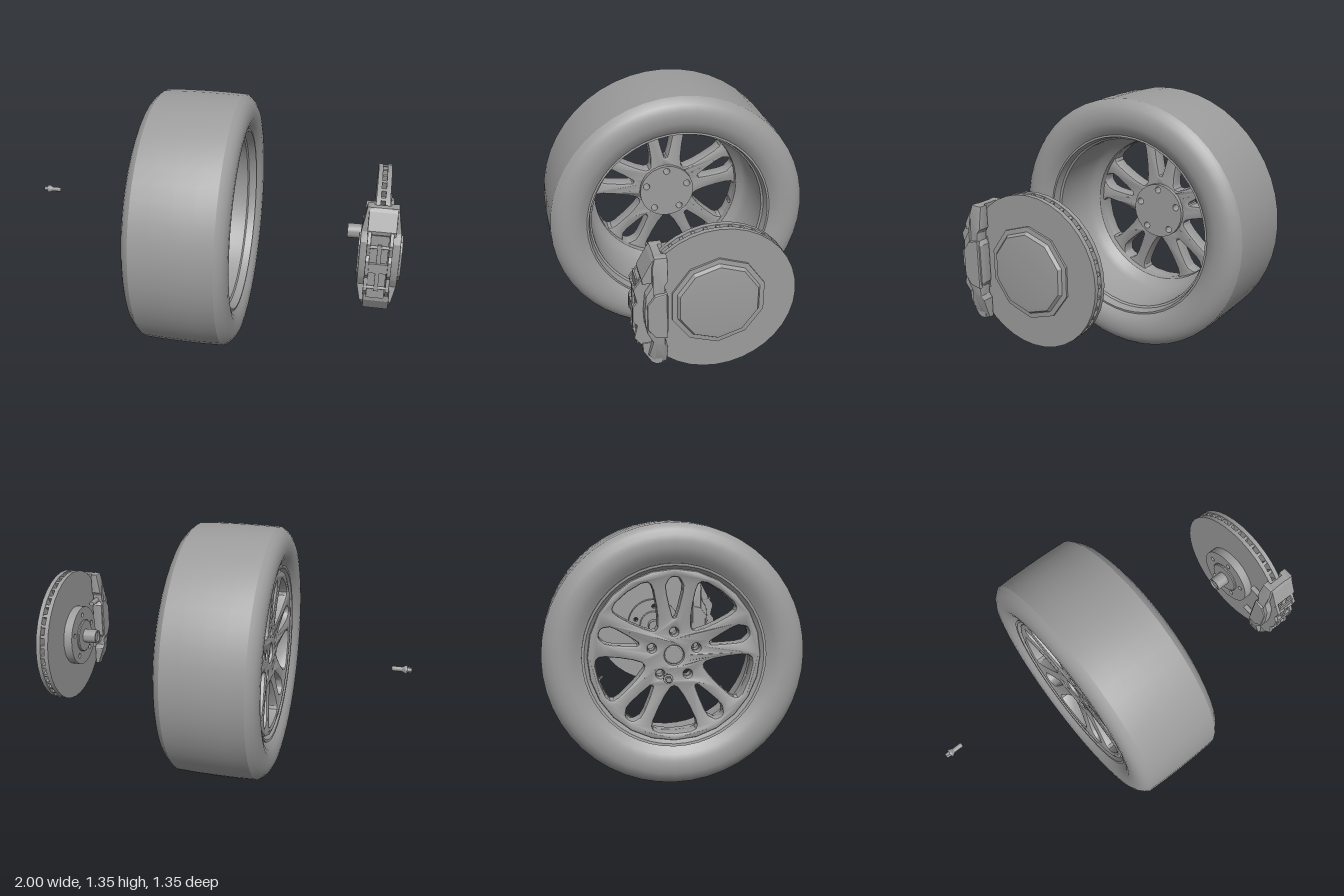
import * as THREE from 'three';
import { toCreasedNormals } from 'three/addons/utils/BufferGeometryUtils.js';

const AXLE_Y = 0.675;
const V = (x, y) => new THREE.Vector2(x, y);

export function createModel() {
  const root = new THREE.Group();
  const mat = new THREE.MeshStandardMaterial({ color: 0x9c9c9c });

  function add(parent, name, geo, x = 0, y = 0, z = 0) {
    const mesh = new THREE.Mesh(geo, mat);
    mesh.name = name;
    mesh.position.set(x, y, z);
    parent.add(mesh);
    return mesh;
  }
  function group(name, y = AXLE_Y) {
    const g = new THREE.Group();
    g.name = name;
    g.position.y = y;
    root.add(g);
    return g;
  }
  // Revolve [radius, x] points about the x axis (outer side runs towards +x)
  const spin = (pts, sides, crease = 0.5, phase = 0) => toCreasedNormals(
    new THREE.LatheGeometry(pts.map(p => V(p[0], p[1])), sides, phase).rotateZ(-Math.PI / 2), crease);
  const closed = pts => [...pts, pts[0]];
  // Extrude a shape drawn in (-z, y) from x0 to x1
  function slab(shape, x0, x1, bevel = 0, curveSegments = 12) {
    const geo = new THREE.ExtrudeGeometry(shape, {
      depth: x1 - x0 - 2 * bevel, bevelEnabled: bevel > 0, bevelSize: bevel,
      bevelThickness: bevel, bevelSegments: 2, curveSegments });
    return geo.rotateY(Math.PI / 2).translate(x0 + bevel, 0, 0);
  }
  const disc = r => new THREE.Shape().absarc(0, 0, r, 0, Math.PI * 2);
  const hole = (x, y, r) => new THREE.Path().absarc(x, y, r, 0, Math.PI * 2, true);
  const fifth = (k, start) => (start + 72 * k) * Math.PI / 180;
  function boltHoles(shape, r) {
    for (let k = 0; k < 5; k++) {
      const a = fifth(k, 90);
      shape.holes.push(hole(0.12 * Math.cos(a), 0.12 * Math.sin(a), r));
    }
    return shape;
  }

  // ---- Wheel ----
  const wheel = group('wheel');
  const half = [[0.485, 0.228], [0.51, 0.247], [0.545, 0.259], [0.58, 0.26],
    [0.61, 0.256], [0.638, 0.243], [0.657, 0.225], [0.67, 0.207]];
  const tyre = [[0.465, -0.28], ...half.map(([r, x]) => [r, -0.065 - x]), [0.674, -0.17], [0.675, -0.065],
    [0.674, 0.04], ...half.map(([r, x]) => [r, -0.065 + x]).reverse()];
  add(wheel, 'tyre', spin(closed(tyre), 48, 0.4));

  // Rim with a straight barrel, a sloped shoulder and a narrow well behind the spokes
  add(wheel, 'rim', spin(closed([
    [0.470, -0.297], [0.470, -0.27], [0.455, -0.2], [0.462, 0.03], [0.475, 0.06], [0.49, 0.12],
    [0.491, 0.164], [0.477, 0.166], [0.467, 0.125], [0.457, 0.118], [0.448, -0.1], [0.43, -0.135],
    [0.402, -0.17], [0.40, -0.2], [0.408, -0.25], [0.437, -0.268], [0.457, -0.295]]), 48));

  // Five paired spokes: wide windows between pairs, narrow slots within each pair
  const face = boltHoles(disc(0.43), 0.034);
  const wide = [[0.148, 0], [0.158, 0.024], [0.2, 0.055], [0.26, 0.088], [0.33, 0.12], [0.365, 0.128],
    [0.39, 0.118], [0.407, 0.085], [0.415, 0]];
  const narrow = [[0.178, 0], [0.188, 0.018], [0.25, 0.036], [0.32, 0.052], [0.36, 0.055],
    [0.395, 0.038], [0.408, 0.024], [0.412, 0]];
  function windowPath(pts, a) {
    const outline = [...pts, ...pts.slice(1, -1).reverse().map(([r, w]) => [r, -w])];
    const c = Math.cos(a), s = Math.sin(a);
    return new THREE.Path(outline.map(([r, w]) => V(r * c - w * s, r * s + w * c)));
  }
  for (let k = 0; k < 5; k++) {
    face.holes.push(windowPath(wide, fifth(k, 54)), windowPath(narrow, fifth(k, 90)));
  }
  face.holes.push(hole(0, 0, 0.062));
  const spokes = slab(face, -0.29, -0.205, 0.012);
  const p = spokes.attributes.position;
  for (let i = 0; i < p.count; i++) {
    // dish the face gently towards the hub
    const r = Math.max(0.16, Math.hypot(p.getY(i), p.getZ(i)));
    p.setX(i, p.getX(i) + 0.09 * (0.425 - r));
  }
  spokes.computeVertexNormals();
  add(wheel, 'spokes', toCreasedNormals(spokes, 0.6));
  add(wheel, 'hubPad', toCreasedNormals(slab(boltHoles(disc(0.15), 0.018), -0.215, -0.16), 0.5));
  add(wheel, 'centreCap', spin([[0, -0.25], [0.044, -0.25], [0.054, -0.243], [0.054, -0.2], [0, -0.2]], 24));
  const va = fifth(0, -18);
  const valve = add(wheel, 'valveStem', spin([[0, -0.045], [0.006, -0.045], [0.006, -0.015], [0.009, -0.012],
    [0.009, 0.02], [0, 0.02]], 10), -0.205, 0.39 * Math.sin(va), -0.39 * Math.cos(va));
  valve.rotation.y = -0.2;

  // ---- Wheel bolt ----
  const bolt = group('wheelBolt', 0.706);
  add(bolt, 'boltHead', spin([[0, -1], [0.012, -1], [0.014, -0.996], [0.014, -0.973], [0, -0.973]], 6, 0.3), 0, 0, -0.112);
  add(bolt, 'boltShank', spin([[0, -0.978], [0.021, -0.978], [0.021, -0.968], [0.012, -0.952],
    [0.012, -0.903], [0.009, -0.9], [0, -0.9]], 16), 0, 0, -0.112);

  // ---- Vented brake disc and hub ----
  const brake = group('brakeDisc');
  for (const [x0, x1] of [[0.854, 0.876], [0.898, 0.921]]) {
    add(brake, 'discPlate', spin(closed([[0.36, x0], [0.36, x1], [0.15, x1], [0.15, x0]]), 36));
  }
  add(brake, 'discCore', spin([[0.31, 0.874], [0.31, 0.9]], 36));
  const vane = new THREE.BoxGeometry(0.026, 0.05, 0.016);
  for (let k = 0; k < 40; k++) {
    const a = k * Math.PI / 20;
    add(brake, 'vane', vane, 0.887, 0.33 * Math.cos(a), 0.33 * Math.sin(a)).rotation.x = a;
  }
  add(brake, 'discHat', spin([[0.22, 0.915], [0.22, 0.931], [0.197, 0.933], [0.186, 0.948],
    [0.16, 0.951], [0, 0.951]], 10, 0.25, Math.PI / 2));
  add(brake, 'hubFlange', toCreasedNormals(slab(boltHoles(disc(0.163), 0.013), 0.808, 0.858, 0, 20), 0.5));
  add(brake, 'hubFace', spin([[0, 0.797], [0.085, 0.797], [0.09, 0.802], [0.09, 0.81]], 32));
  add(brake, 'axleStub', spin(closed([[0.038, 0.725], [0.038, 0.8], [0.029, 0.8], [0.029, 0.725]]), 24));
  add(brake, 'axlePlug', spin([[0, 0.735], [0.03, 0.735]], 24));

  // ---- Caliper ----
  const caliper = group('caliper', 0);
  const outline = pts => new THREE.Shape(pts.map(([z, y]) => V(-z, y)));
  const body = [[0.243, 0.95], [0.29, 0.95], [0.3, 0.91], [0.302, 0.83], [0.33, 0.785], [0.338, 0.7],
    [0.335, 0.64], [0.325, 0.59], [0.3, 0.54], [0.318, 0.46], [0.285, 0.41], [0.262, 0.402],
    [0.243, 0.41], [0.243, 0.5], [0.257, 0.52], [0.257, 0.57], [0.243, 0.59], [0.243, 0.77],
    [0.257, 0.79], [0.257, 0.83], [0.243, 0.85]];
  // Each half narrows to the disc at both ends, more so at the bottom
  function caliperHalf(name, x0, x1, outer) {
    const geo = slab(outline(body), x0, x1, 0.005);
    const q = geo.attributes.position;
    for (let i = 0; i < q.count; i++) {
      const d = q.getY(i) - 0.675;
      const end = THREE.MathUtils.clamp((Math.abs(d) - 0.16) / 0.11, 0, 1) * (d > 0 ? 0.02 : 0.036);
      if (Math.abs(q.getX(i) - outer) < 0.02) q.setX(i, q.getX(i) + Math.sign(0.89 - outer) * end);
    }
    geo.computeVertexNormals();
    add(caliper, name, toCreasedNormals(geo, 0.4));
  }
  caliperHalf('innerHalf', 0.795, 0.85, 0.795);
  caliperHalf('outerHalf', 0.926, 0.988, 0.988);

  // Raised piston covers on both flanks
  const cover = outline([[0.25, 0.79], [0.295, 0.78], [0.325, 0.74], [0.325, 0.62], [0.295, 0.58], [0.25, 0.57]]);
  add(caliper, 'pistonCover', slab(cover, 0.978, 1.0, 0.006));
  add(caliper, 'pistonCover', slab(cover, 0.787, 0.803, 0.004));

  // Bridges over the disc edge
  const bridge = outline([[0.29, 0.95], [0.302, 0.935], [0.345, 0.855], [0.342, 0.835], [0.31, 0.835],
    [0.265, 0.92], [0.262, 0.95]]);
  add(caliper, 'upperBridge', slab(bridge, 0.825, 0.962, 0.004));
  add(caliper, 'lowerBridge', slab(outline([[0.262, 0.402], [0.265, 0.44], [0.31, 0.515], [0.345, 0.515],
    [0.342, 0.475], [0.305, 0.412], [0.285, 0.4]]), 0.832, 0.958, 0.004));
  add(caliper, 'middleBridge', new THREE.BoxGeometry(0.11, 0.05, 0.022), 0.888, 0.675, 0.374);
  add(caliper, 'coverPlate', new THREE.BoxGeometry(0.085, 0.34, 0.008), 0.888, 0.675, 0.366);

  // Pad backing plates, side rails and retaining pins
  const rail = outline([[0.3, 0.85], [0.345, 0.85], [0.38, 0.8], [0.366, 0.735], [0.385, 0.71], [0.385, 0.64],
    [0.366, 0.615], [0.38, 0.55], [0.345, 0.505], [0.3, 0.51]]);
  for (const x of [0.828, 0.934]) add(caliper, 'padRail', slab(rail, x, x + 0.018, 0.003));
  const pad = outline([[0.25, 0.8], [0.335, 0.8], [0.36, 0.76], [0.36, 0.59], [0.335, 0.55], [0.25, 0.55]]);
  for (const x of [0.846, 0.922]) add(caliper, 'brakePad', slab(pad, x, x + 0.007));
  const pin = new THREE.CylinderGeometry(0.008, 0.008, 0.12, 10).rotateZ(Math.PI / 2);
  for (const y of [0.785, 0.565]) add(caliper, 'retainingPin', pin, 0.889, y, 0.373);
  const clip = new THREE.BoxGeometry(0.02, 0.1, 0.01);
  for (const s of [-1, 1]) add(caliper, 'springClip', clip, 0.889, 0.675 + s * 0.075, 0.376);

  // Mounting lugs on the inboard side
  const lug = new THREE.CylinderGeometry(0.014, 0.014, 0.08, 12).rotateX(Math.PI / 2);
  for (const y of [0.80, 0.55]) add(caliper, 'mountingLug', lug, 0.828, y, 0.215);

  return root;
}
